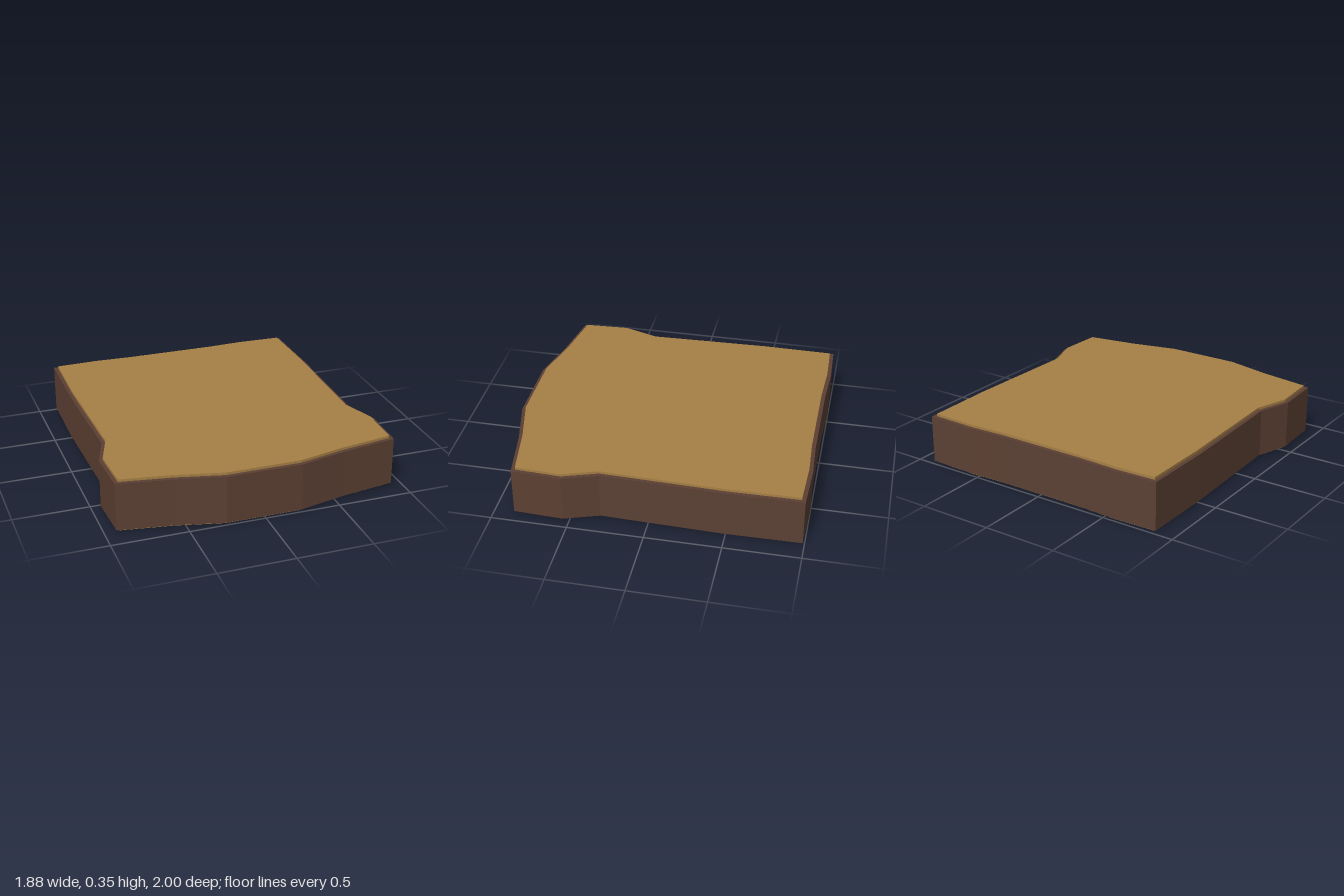
import * as THREE from 'three';

// Plan outline as [x, z], from the front edge round by +x to the back and home
const OUTLINE = [
  [-0.26, 1], [0.24, 1], [0.56, 0.925], [0.926, 0.866], [0.94, 0.54], [0.862, 0.31],
  [0.872, -0.05], [0.884, -0.5], [0.877, -0.99], [0.55, -1], [0.3, -0.988],
  [-0.3, -0.988], [-0.57, -1], [-0.877, -0.99], [-0.884, -0.5], [-0.872, -0.05],
  [-0.862, 0.31], [-0.94, 0.54], [-0.926, 0.866], [-0.57, 0.925],
].map(([x, z]) => new THREE.Vector2(x, -z));

// Move every edge inward by d, mitring the corners
function inset(points, d) {
  const n = points.length;
  const normal = (a, b) => new THREE.Vector2(a.y - b.y, b.x - a.x).normalize();
  return points.map((p, i) => {
    const n1 = normal(points[(i + n - 1) % n], p);
    const n2 = normal(p, points[(i + 1) % n]);
    return p.clone().addScaledVector(n1.clone().add(n2), d / (1 + n1.dot(n2)));
  });
}

// Upright slab with the given plan, between heights y0 and y1
function slab(name, points, y0, y1, material) {
  const geometry = new THREE.ExtrudeGeometry(new THREE.Shape(points), { depth: y1 - y0, bevelEnabled: false });
  geometry.rotateX(-Math.PI / 2);
  geometry.translate(0, y0, 0);
  const mesh = new THREE.Mesh(geometry, material);
  mesh.name = name;
  return mesh;
}

export function createModel() {
  const brown = new THREE.MeshStandardMaterial({ color: 0x5c4033 });
  const tan = new THREE.MeshStandardMaterial({ color: 0xa68045 });
  const panel = inset(OUTLINE, 0.025);

  const model = new THREE.Group();
  model.name = 'contouredSlab';
  model.add(
    slab('body', OUTLINE, 0.017, 0.336, brown),
    slab('topPanel', panel, 0.336, 0.353, tan),
    slab('bottomPanel', panel, 0, 0.017, tan),
  );
  return model;
}
